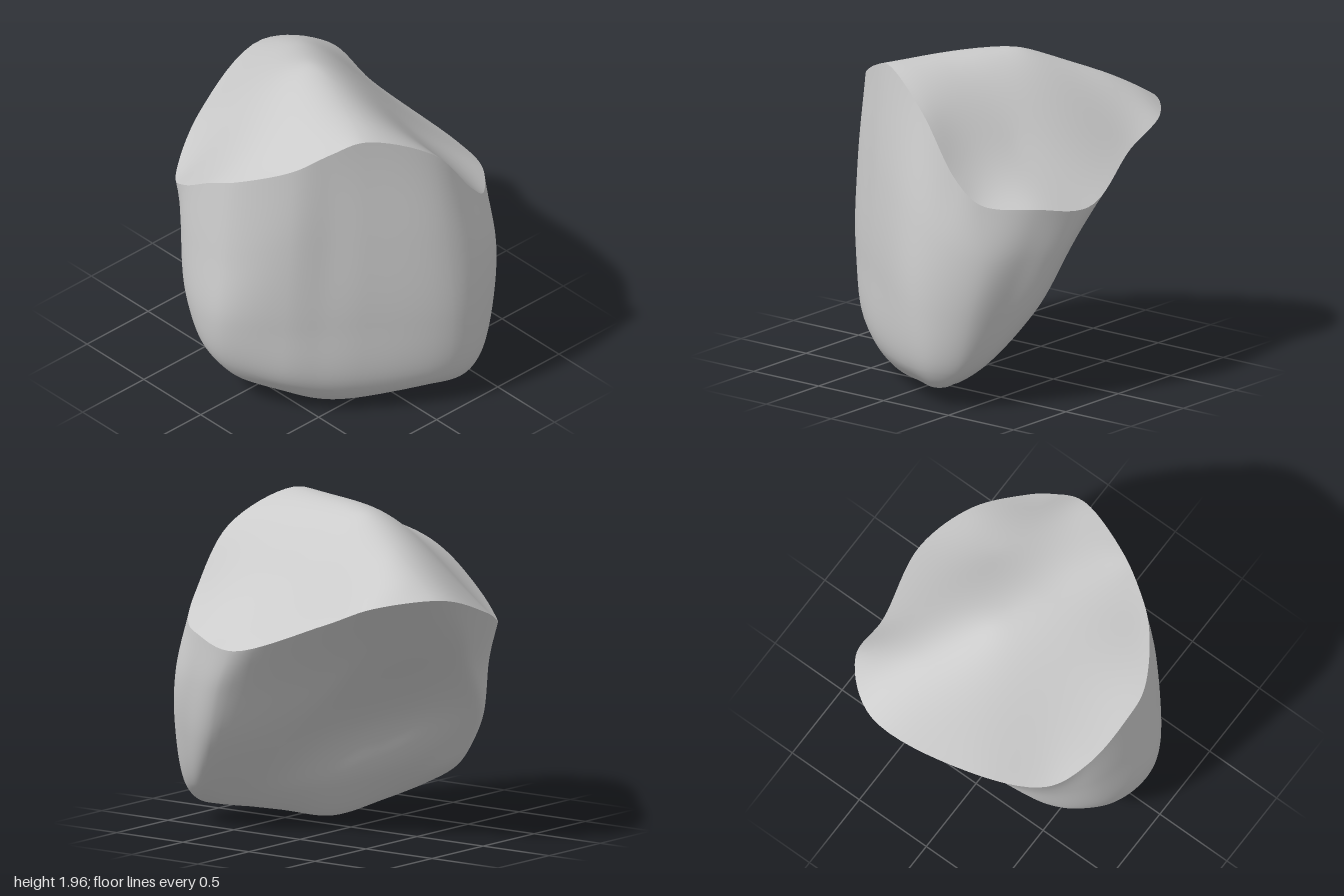
import * as THREE from 'three';
import { mergeVertices } from 'three/addons/utils/BufferGeometryUtils.js';

const SEG = 128; // samples around the body
const V = (p) => new THREE.Vector3(...p);
const curve = (pts, closed = false) => new THREE.CatmullRomCurve3(pts, closed, 'centripetal');
const sample = (c, n) => Array.from({ length: n + 1 }, (_, i) => c.getPoint(i / n));
const loop = (pts) => sample(curve(pts.map(V), true), SEG);

// Sections of the body, each running front, +x side, back, -x side.
const RIM = loop([
  [-0.25, 1.98, 0.635], [0.15, 1.79, 0.81], [0.43, 1.43, 0.84], [0.58, 1.29, 0.785],
  [0.8, 1.25, 0.54], [0.915, 1.205, 0.18], [0.77, 1.41, -0.4], [0.73, 1.54, -0.73],
  [0.42, 1.575, -0.99], [-0.2, 1.395, -0.875], [-0.62, 1.26, -0.63], [-0.76, 1.38, -0.4],
  [-0.82, 1.58, -0.1], [-0.81, 1.68, 0.1], [-0.62, 1.82, 0.4], [-0.43, 1.93, 0.54],
]);
const UPPER = loop([
  [-0.28, 1.3, 0.7], [0.14, 1.2, 0.93], [0.4, 1.05, 0.95], [0.63, 0.95, 0.84],
  [0.77, 0.95, 0.62], [0.86, 0.95, 0.32], [0.5, 1.05, -0.22], [0.43, 1.2, -0.51],
  [0.07, 1.25, -0.79], [-0.27, 1.1, -0.73], [-0.57, 1.0, -0.6], [-0.78, 1.05, -0.4],
  [-0.87, 1.1, -0.12], [-0.87, 1.15, 0.1], [-0.66, 1.3, 0.42], [-0.46, 1.3, 0.57],
]);
const LOWER = loop([
  [-0.3, 0.7, 0.71], [0.15, 0.65, 0.98], [0.35, 0.62, 0.995], [0.57, 0.6, 0.89],
  [0.68, 0.6, 0.72], [0.75, 0.6, 0.48], [0.42, 0.6, 0.18], [0.11, 0.65, 0],
  [-0.21, 0.72, -0.29], [-0.48, 0.7, -0.54], [-0.64, 0.62, -0.49], [-0.81, 0.62, -0.33],
  [-0.9, 0.65, -0.12], [-0.91, 0.7, 0.1], [-0.69, 0.7, 0.4], [-0.5, 0.7, 0.56],
]);
const BASE = loop([
  [-0.3, 0.22, 0.66], [0.13, 0.24, 0.92], [0.32, 0.25, 0.96], [0.47, 0.25, 0.89],
  [0.54, 0.27, 0.79], [0.55, 0.28, 0.68], [0.3, 0.25, 0.5], [0.1, 0.24, 0.3],
  [-0.1, 0.27, 0.08], [-0.42, 0.33, -0.19], [-0.6, 0.36, -0.33], [-0.76, 0.34, -0.24],
  [-0.85, 0.36, -0.08], [-0.85, 0.36, 0.08], [-0.67, 0.28, 0.35], [-0.5, 0.24, 0.51],
]);
const KEEL = loop([
  [-0.26, 0.03, 0.48], [0.1, 0.11, 0.78], [0.28, 0.125, 0.87], [0.37, 0.14, 0.86],
  [0.41, 0.16, 0.82], [0.39, 0.15, 0.75], [0.2, 0.11, 0.64], [0, 0.07, 0.46],
  [-0.2, 0.03, 0.28], [-0.45, 0.13, 0.05], [-0.62, 0.2, -0.08], [-0.7, 0.215, -0.08],
  [-0.74, 0.215, -0.03], [-0.73, 0.19, 0.05], [-0.55, 0.1, 0.22], [-0.4, 0.04, 0.36],
]);
// Points the top face passes through: its crest, then the hollow beside it.
const TOP = [
  [-0.1, 1.97, 0.4], [0, 1.97, 0.1], [0.1, 1.96, -0.2], [0.25, 1.865, -0.4],
  [0.4, 1.765, -0.6], [0.55, 1.64, -0.8], [0.45, 1.56, 0.3],
].map(V);

// Skins a grid of points; columns run rightwards and rows downwards seen from outside.
function skin(rows) {
  const n = rows[0].length;
  const index = [];
  for (let r = 0; r < rows.length - 1; r++) {
    for (let c = 0; c < n - 1; c++) {
      const a = r * n + c, b = a + 1, d = a + n, e = d + 1;
      index.push(a, d, b, b, d, e);
    }
  }
  let geometry = new THREE.BufferGeometry().setFromPoints(rows.flat());
  geometry.setIndex(index);
  geometry = mergeVertices(geometry, 1e-4);
  geometry.computeVertexNormals();
  return geometry;
}

// Wedge-shaped body, lofted from the sharp rim down to the keel.
function bodyGeometry() {
  // The two sides of the keel meet along its middle line, drawn in at both ends.
  const middle = V([-0.17, 0.05, 0.4]);
  const seam = KEEL.map((p, i) => {
    const q = p.clone().lerp(KEEL[(SEG * 1.5 - i) % SEG], 0.5).lerp(middle, 0.12);
    q.y = Math.max(0, q.y - 0.015);
    return q;
  });
  const loops = [RIM, UPPER, LOWER, BASE, KEEL, seam];
  const columns = RIM.map((_, i) => sample(curve(loops.map((l) => l[i])), 50));
  return skin(columns[0].map((_, r) => columns.map((c) => c[r])));
}

// Smooth height over the ground plane (thin-plate spline) through the given points.
function heightField(sites) {
  const n = sites.length, size = n + 3;
  const bend = (x, z, s) => {
    const d = (x - s.x) ** 2 + (z - s.z) ** 2;
    return d > 1e-12 ? d * Math.log(d) : 0;
  };
  const basis = (x, z) => [...sites.map((s) => bend(x, z, s)), 1, x, z];
  const m = sites.map((s) => [...basis(s.x, s.z), s.y]);
  for (const f of [() => 1, (s) => s.x, (s) => s.z]) m.push([...sites.map(f), 0, 0, 0, 0]);
  // Gauss-Jordan elimination with row swaps.
  for (let c = 0; c < size; c++) {
    let best = c;
    for (let r = c + 1; r < size; r++) if (Math.abs(m[r][c]) > Math.abs(m[best][c])) best = r;
    [m[c], m[best]] = [m[best], m[c]];
    for (let r = 0; r < size; r++) {
      if (r === c) continue;
      const k = m[r][c] / m[c][c];
      for (let j = c; j <= size; j++) m[r][j] -= k * m[c][j];
    }
  }
  const weights = m.map((row, i) => row[size] / row[i]);
  return (x, z) => basis(x, z).reduce((sum, b, i) => sum + b * weights[i], 0);
}

// Saddle-like top face: rings shrinking from the rim to the middle.
function topGeometry() {
  const height = heightField([...RIM.slice(0, SEG).filter((_, i) => i % 2 === 0), ...TOP]);
  const middle = V([0.08, 0, -0.05]);
  const rings = 24;
  const rows = [];
  for (let r = 0; r <= rings; r++) {
    rows.push(RIM.map((p) => {
      const q = middle.clone().lerp(p, r / rings);
      q.y = r === rings ? p.y : height(q.x, q.z);
      return q;
    }));
  }
  return skin(rows);
}

export function createModel() {
  const group = new THREE.Group();
  group.name = 'stoneFragment';
  const material = new THREE.MeshStandardMaterial({ color: 0xcccccc, side: THREE.DoubleSide });
  const parts = { body: bodyGeometry(), topFace: topGeometry() };
  for (const [name, geometry] of Object.entries(parts)) {
    const mesh = new THREE.Mesh(geometry, material);
    mesh.name = name;
    group.add(mesh);
  }
  return group;
}
